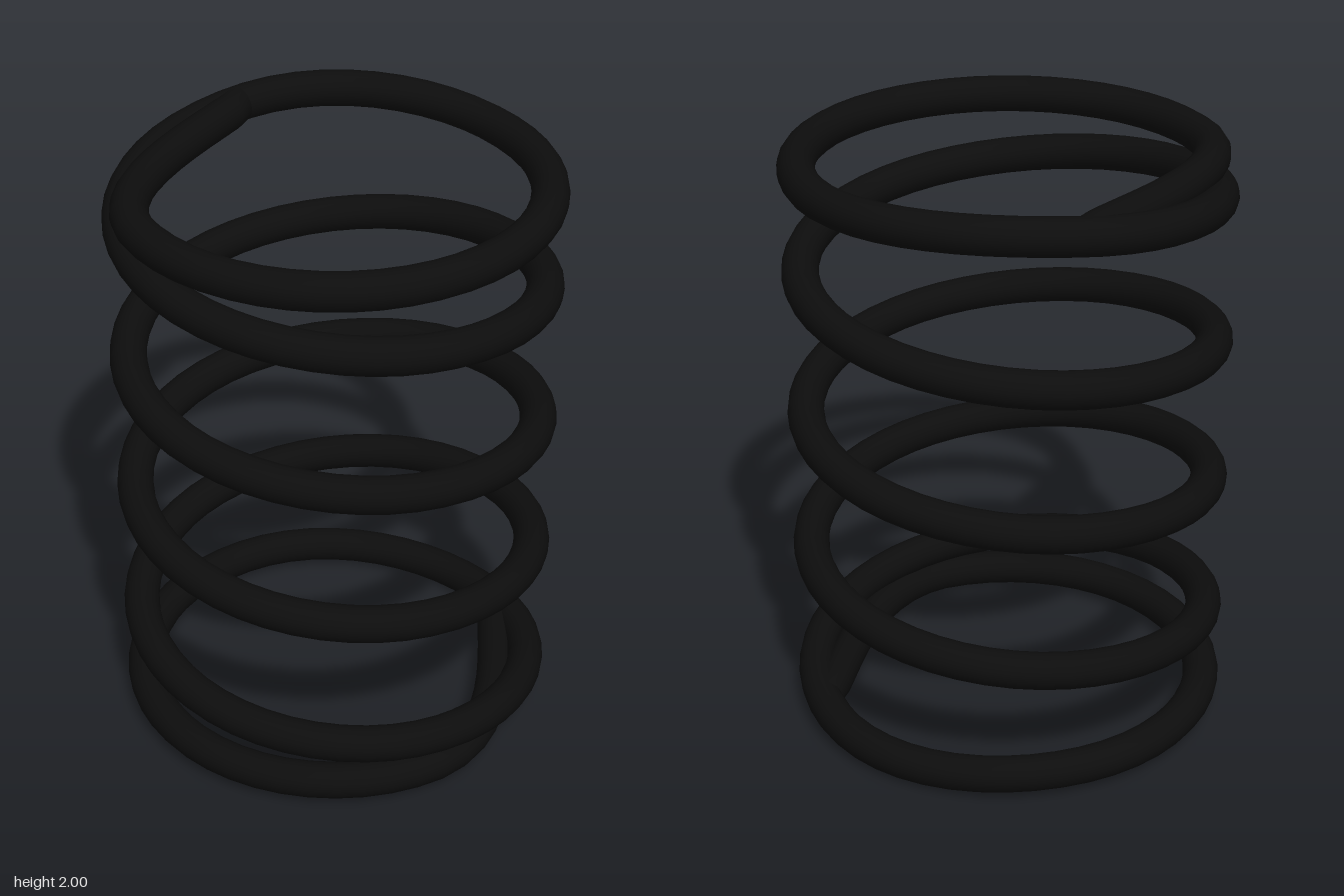
import * as THREE from 'three';

const R = 0.665;        // coil radius
const WIRE = 0.06;      // wire radius
const Y0 = 0.078, Y1 = 1.922;
const RISING = 15;      // quarter turns that climb
const FLAT = 4;         // quarter turns in each flat end ring
const RISE = (Y1 - Y0) / RISING;
const K = 0.5523;       // handle length for a quarter circle

// Point on the coil after i quarter turns
function node(i) {
  const a = i * Math.PI / 2;
  const y = Y0 + RISE * Math.min(Math.max(i, 0), RISING);
  return new THREE.Vector3(R * Math.cos(a), y, R * Math.sin(a));
}

// Tangent handle at a coil point; only the climbing part slopes
function handle(i) {
  const a = i * Math.PI / 2;
  const dy = i >= 0 && i <= RISING ? RISE / 3 : 0;
  return new THREE.Vector3(-Math.sin(a) * R * K, dy, Math.cos(a) * R * K);
}

// Short handle at a free wire end, tucked inward from the ring
function endHandle(i, dir) {
  const a = i * Math.PI / 2;
  const inward = new THREE.Vector3(-Math.cos(a), 0, -Math.sin(a)).multiplyScalar(0.08);
  const along = new THREE.Vector3(-Math.sin(a), 0, Math.cos(a)).multiplyScalar(0.05 * dir);
  return inward.add(along);
}

export function createModel() {
  const group = new THREE.Group();
  group.name = 'coilSpring';
  const black = new THREE.MeshStandardMaterial({ color: 0x0d0d0d, side: THREE.DoubleSide });
  black.name = 'black';

  // One wire: flat bottom ring, rising coil, flat top ring
  const first = -FLAT, last = RISING + FLAT;
  const path = new THREE.CurvePath();
  for (let i = first; i < last; i++) {
    const a = node(i), b = node(i + 1);
    const out = i === first ? endHandle(i, 1) : handle(i);
    const back = i + 1 === last ? endHandle(last, -1) : handle(i + 1).negate();
    path.add(new THREE.CubicBezierCurve3(a, a.clone().add(out), b.clone().add(back), b));
  }
  path.arcLengthDivisions = 600;

  const wire = new THREE.Mesh(
    new THREE.TubeGeometry(path, (last - first) * 12, WIRE, 16, false), black);
  wire.name = 'springWire';
  group.add(wire);

  // Flat caps on the two wire ends
  for (const [t, dir, name] of [[0, -1, 'bottomWireEnd'], [1, 1, 'topWireEnd']]) {
    const cap = new THREE.Mesh(new THREE.CircleGeometry(WIRE, 16), black);
    const p = path.getPoint(t);
    cap.position.copy(p);
    cap.lookAt(p.clone().addScaledVector(path.getTangent(t), dir));
    cap.name = name;
    group.add(cap);
  }
  return group;
}
